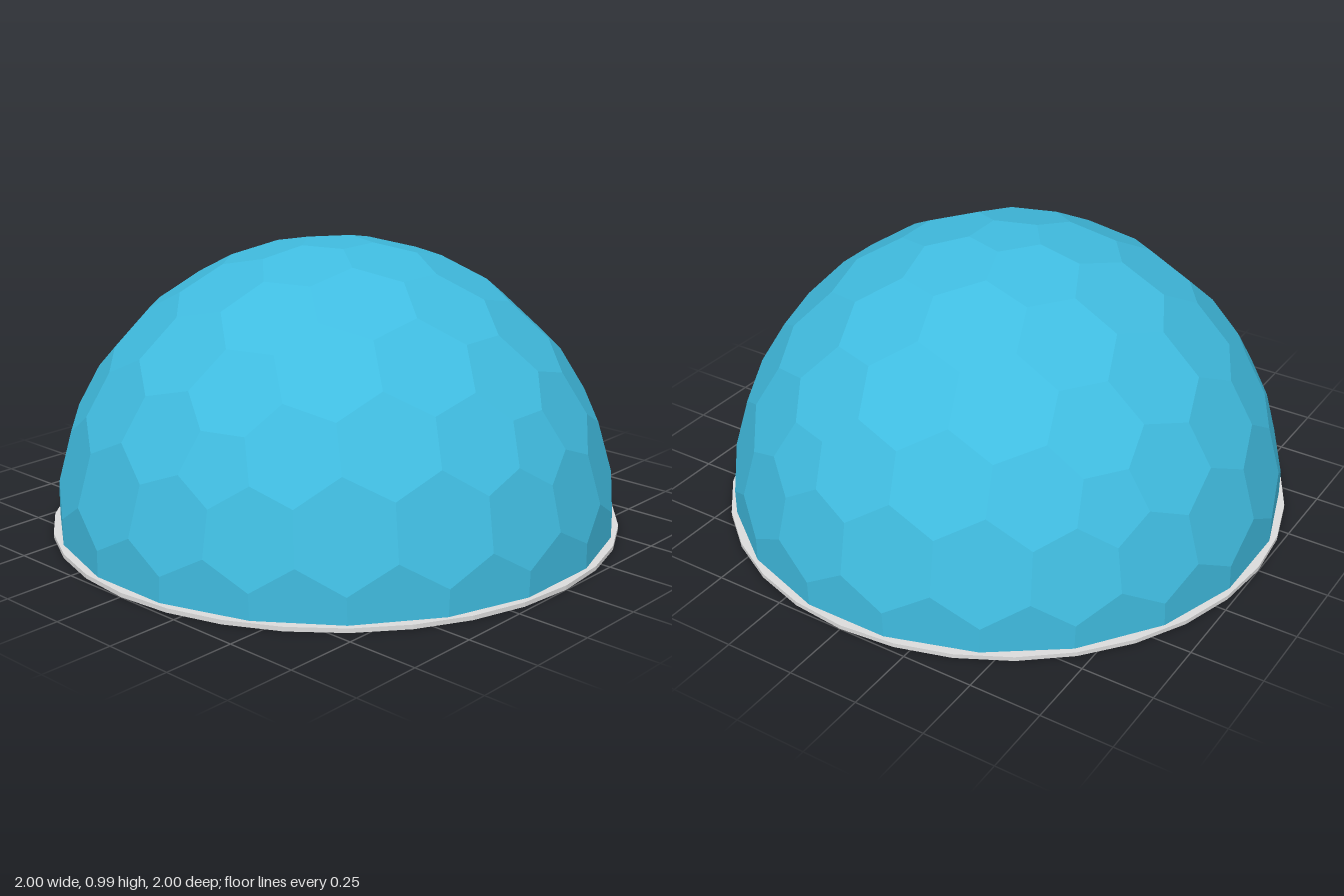
import * as THREE from 'three';

const FREQ = 4;          // subdivisions per icosahedron edge
const RADIUS = 0.985;    // sphere through the panel corners
const BASE_H = 0.015;

// The twenty triangles of an icosahedron standing on a corner
function icosahedronFaces() {
  const ring = (y, turn) => Array.from({ length: 5 }, (_, k) => {
    const a = (k + turn) * Math.PI * 0.4;
    return new THREE.Vector3(Math.cos(a) * 2, y, Math.sin(a) * 2).divideScalar(Math.sqrt(5));
  });
  const top = new THREE.Vector3(0, 1, 0), bottom = new THREE.Vector3(0, -1, 0);
  const up = ring(1, 0), low = ring(-1, 0.5);
  const faces = [];
  for (let k = 0; k < 5; k++) {
    const n = (k + 1) % 5;
    faces.push([top, up[k], up[n]], [up[k], up[n], low[k]],
      [low[k], low[n], up[n]], [bottom, low[k], low[n]]);
  }
  return faces;
}

// One panel per grid point; its corners are the centres of the triangles around it
function panelCells() {
  const cells = [];
  const addCorner = (p, corner) => {
    const dir = p.clone().normalize();
    let cell = cells.find(c => c.dir.distanceTo(dir) < 0.01);
    if (!cell) cells.push(cell = { dir, corners: [] });
    cell.corners.push(corner);
  };
  const addTriangle = (...pts) => {
    const mid = new THREE.Vector3();
    pts.forEach(p => mid.add(p));
    mid.setLength(RADIUS);
    pts.forEach(p => addCorner(p, mid));
  };
  for (const [a, b, c] of icosahedronFaces()) {
    const grid = (i, j) => a.clone().multiplyScalar(FREQ - i - j)
      .addScaledVector(b, i).addScaledVector(c, j).divideScalar(FREQ);
    for (let i = 0; i < FREQ; i++) {
      for (let j = 0; i + j < FREQ; j++) {
        addTriangle(grid(i, j), grid(i + 1, j), grid(i, j + 1));
        if (i + j < FREQ - 1) addTriangle(grid(i + 1, j), grid(i + 1, j + 1), grid(i, j + 1));
      }
    }
  }
  return cells;
}

// Sort corners counter-clockwise as seen from outside
function sortAround(dir, corners) {
  const u = new THREE.Vector3(0.31, 0.17, 0.93).cross(dir).normalize();
  const v = dir.clone().cross(u);
  const angle = p => Math.atan2(p.dot(v), p.dot(u));
  return corners.slice().sort((p, q) => angle(p) - angle(q));
}

// Cut a polygon off at ground level
function clipBelow(poly) {
  const out = [];
  poly.forEach((p, i) => {
    const q = poly[(i + 1) % poly.length];
    if (p.y >= 0) out.push(p);
    if ((p.y >= 0) !== (q.y >= 0)) out.push(p.clone().lerp(q, p.y / (p.y - q.y)));
  });
  return out;
}

function domeGeometry() {
  const positions = [], normals = [];
  for (const { dir, corners } of panelCells()) {
    if (dir.y < -0.05) continue;
    const poly = clipBelow(sortAround(dir, corners));
    const mid = new THREE.Vector3();
    poly.forEach(p => mid.add(p));
    mid.divideScalar(poly.length);
    poly.forEach((p, i) => {
      for (const w of [mid, p, poly[(i + 1) % poly.length]]) {
        positions.push(w.x, w.y, w.z);
        normals.push(dir.x, dir.y, dir.z); // one normal keeps each panel flat
      }
    });
  }
  const geo = new THREE.BufferGeometry();
  geo.setAttribute('position', new THREE.Float32BufferAttribute(positions, 3));
  geo.setAttribute('normal', new THREE.Float32BufferAttribute(normals, 3));
  return geo;
}

export function createModel() {
  const panelBlue = new THREE.MeshStandardMaterial({ color: 0x40bce0 });
  panelBlue.name = 'panelBlue';
  const baseGrey = new THREE.MeshStandardMaterial({ color: 0xdcdcdc, flatShading: true });
  baseGrey.name = 'baseGrey';

  const model = new THREE.Group();
  model.name = 'panelledDome';

  // Thin round floor plate
  const base = new THREE.Mesh(new THREE.CylinderGeometry(1, 1, BASE_H, 32), baseGrey);
  base.name = 'basePlate';
  base.position.y = BASE_H / 2;

  // Half sphere of hexagon and pentagon panels
  const dome = new THREE.Mesh(domeGeometry(), panelBlue);
  dome.name = 'dome';
  dome.position.y = BASE_H;

  model.add(base, dome);
  return model;
}
